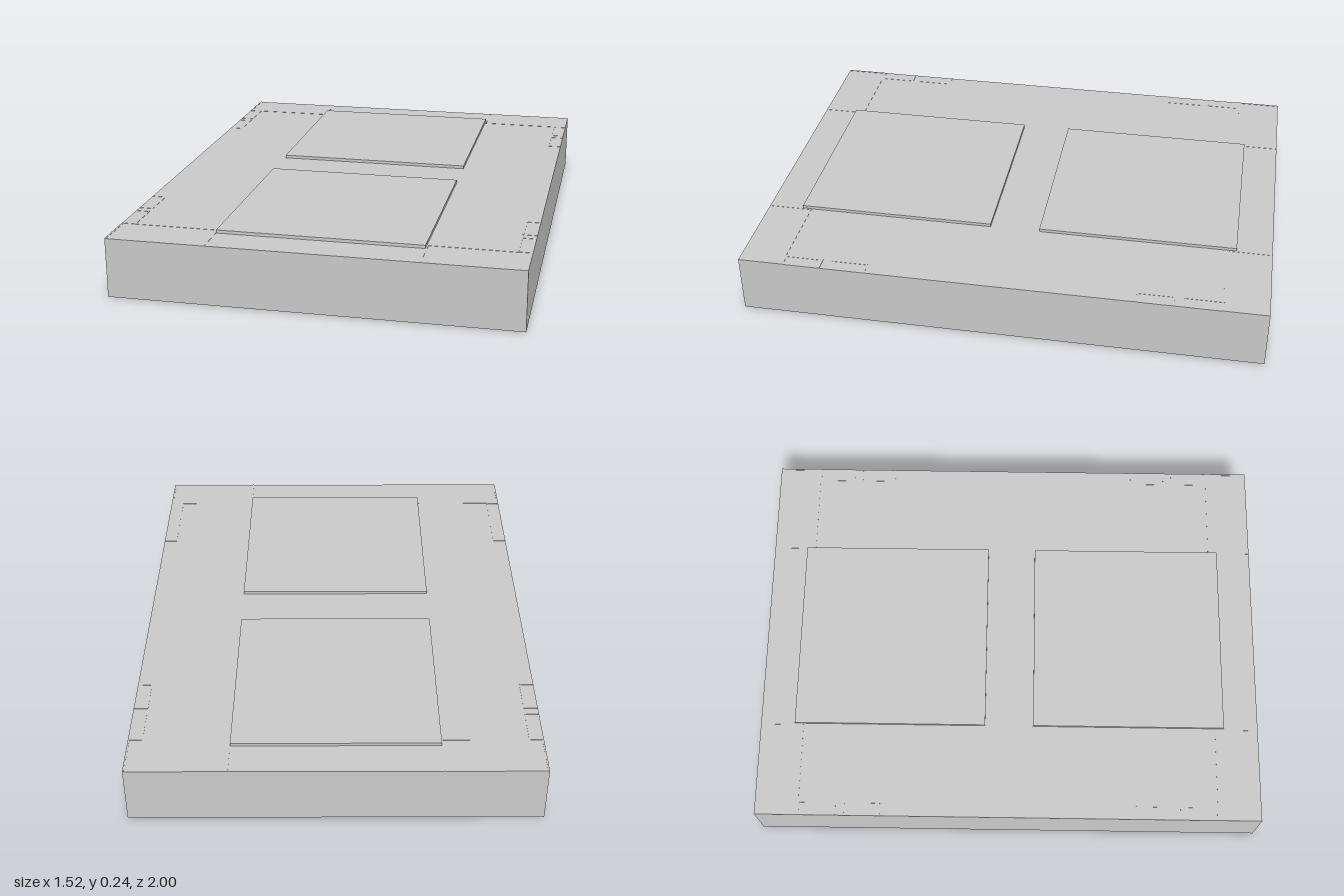
import * as THREE from 'three';

const TOP = 0.226;

export function createModel() {
  const model = new THREE.Group();
  const material = new THREE.MeshStandardMaterial({ color: 0xcccccc, flatShading: true });

  // Box given by its extents on each axis
  function block(name, x0, x1, y0, y1, z0, z1) {
    const mesh = new THREE.Mesh(new THREE.BoxGeometry(x1 - x0, y1 - y0, z1 - z0), material);
    mesh.position.set((x0 + x1) / 2, (y0 + y1) / 2, (z0 + z1) / 2);
    mesh.name = name;
    return mesh;
  }

  // Main slab
  model.add(block('base', -0.76, 0.76, 0, TOP, -1, 1));

  // Two raised square pads
  for (const s of [-1, 1]) {
    const pad = block('pad', -0.385, 0.385, TOP - 0.01, 0.238, -0.383, 0.383);
    pad.position.z = s * 0.48;
    model.add(pad);
  }

  // Hairline seams on the top, repeated at all four corners
  const seam = (name, x0, x1, z0, z1) => block(name, x0, x1, TOP - 0.01, TOP + 0.001, z0, z1);
  for (const sx of [-1, 1]) {
    for (const sz of [-1, 1]) {
      const corner = new THREE.Group();
      corner.name = 'cornerTrim';
      const parts = [
        seam('innerSeam', 0.385, 0.391, 0.83, 1),
        seam('outerSeam', 0.754, 0.76, 0.83, 1),
        seam('crossSeam', 0.391, 0.71, 0.828, 0.834),
      ];
      // Pair of small U-shaped brackets at the side edge
      for (const [z0, z1] of [[0.51, 0.65], [0.685, 0.828]]) {
        parts.push(
          seam('bracketEnd', 0.706, 0.76, z0 - 0.004, z0 + 0.004),
          seam('bracketEnd', 0.706, 0.76, z1 - 0.004, z1 + 0.004),
          seam('bracketSide', 0.706, 0.71, z0, z1),
        );
      }
      for (const part of parts) {
        part.position.x *= sx;
        part.position.z *= sz;
        corner.add(part);
      }
      model.add(corner);
    }
  }
  return model;
}
